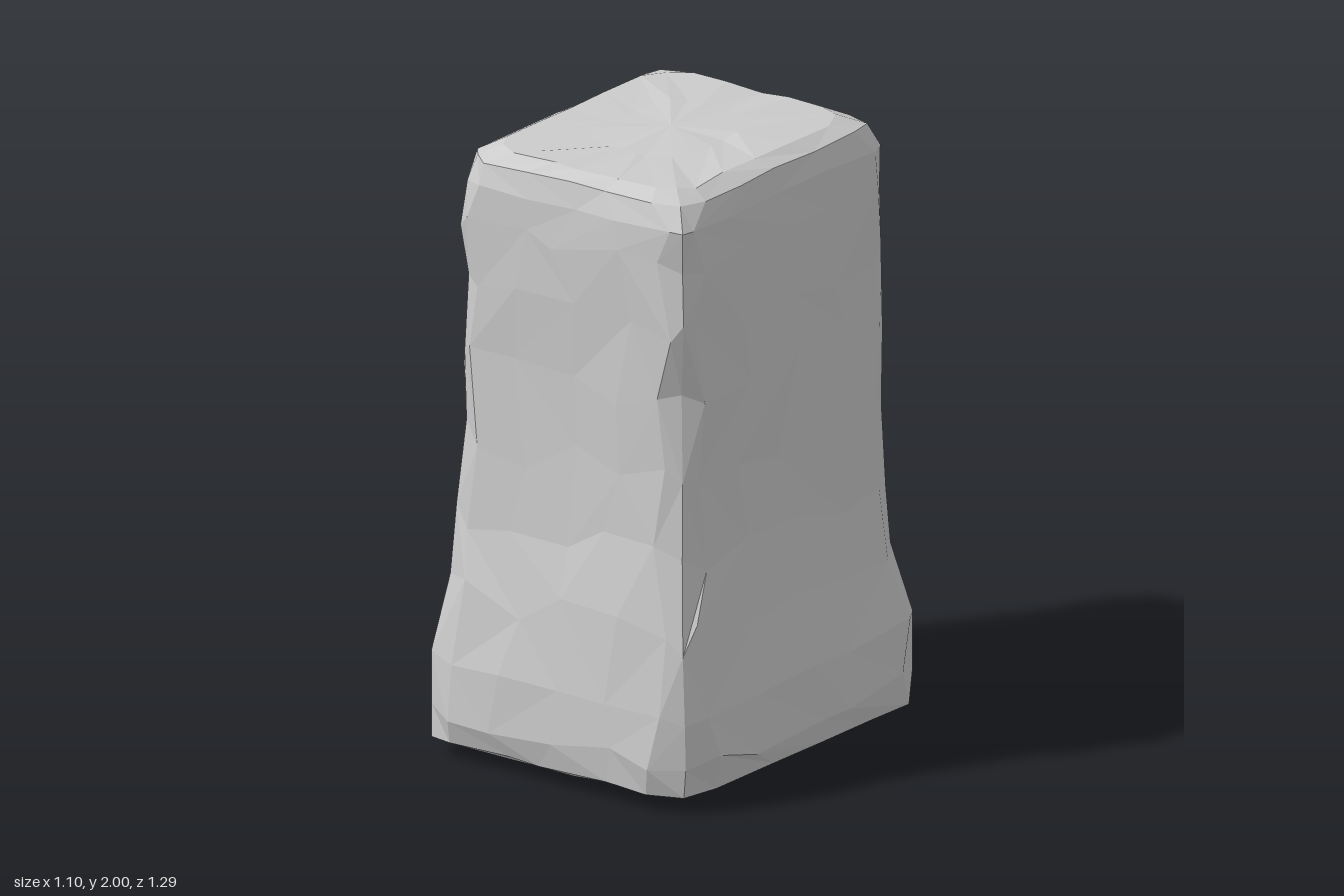
import * as THREE from 'three';

// Seeded random numbers in 0..1
function seeded(seed) {
  return () => {
    seed = (seed * 1664525 + 1013904223) % 4294967296;
    return seed / 4294967296;
  };
}

// Rows from bottom to top: height, half width, half depth, corner bevel
const ROWS = [
  [0.01, 0.2, 0.25, 0.1],
  [0.01, 0.4, 0.5, 0.1],
  [0.06, 0.52, 0.62, 0.12],
  [0.16, 0.55, 0.645, 0.12],
  [0.32, 0.535, 0.635, 0.11],
  [0.56, 0.495, 0.6, 0.1],
  [0.8, 0.465, 0.56, 0.09],
  [1.05, 0.452, 0.54, 0.08],
  [1.3, 0.45, 0.537, 0.08],
  [1.55, 0.45, 0.537, 0.08],
  [1.76, 0.45, 0.537, 0.08],
  [1.88, 0.445, 0.535, 0.08],
  [1.955, 0.425, 0.512, 0.09],
  [1.985, 0.37, 0.46, 0.1],
  [1.99, 0.19, 0.24, 0.08],
];
const SIDE_POINTS = 3;

// One uneven bevelled rectangle, counterclockwise from above
function crossSection([y, w, d, bevel], rnd) {
  const corners = [[1, 1], [1, -1], [-1, -1], [-1, 1]].map(([sx, sz], k) => {
    const r = bevel * (0.65 + 0.75 * rnd());
    const cut = r * (0.2 + 0.2 * rnd());
    const points = [[w - r, d], [w - cut, d - cut], [w, d - r]];
    if (k % 2) points.reverse();
    return points.map(([x, z]) => [sx * x, sz * z]);
  });
  const outline = [];
  corners.forEach((points, k) => {
    outline.push(...points);
    const a = points[2], b = corners[(k + 1) % 4][0];
    for (let i = 1; i <= SIDE_POINTS; i++) {
      const t = (i + (rnd() - 0.5) * 0.5) / (SIDE_POINTS + 1);
      outline.push([a[0] + (b[0] - a[0]) * t, a[1] + (b[1] - a[1]) * t]);
    }
  });
  // Chips reach inwards; heights wander more along the walls than at the ends
  const wander = y > 0.4 && y < 1.7 ? 0.12 : y > 0.1 && y < 1.8 ? 0.06 : 0.012;
  return outline.map(([x, z]) => {
    const chip = 1.003 - 0.024 * rnd();
    return [x * chip, y + (rnd() - 0.5) * wander, z * chip];
  });
}

function stoneGeometry() {
  const rnd = seeded(17);
  const rings = ROWS.map((row) => crossSection(row, rnd));
  const n = rings[0].length;
  const positions = rings.flat(2);
  const index = [];

  // Walls and rounded edges, with the diagonals turned at random
  for (let i = 0; i < rings.length - 1; i++) {
    for (let j = 0; j < n; j++) {
      const a = i * n + j, b = i * n + ((j + 1) % n);
      const c = b + n, d = a + n;
      if (rnd() < 0.5) index.push(a, b, c, a, c, d);
      else index.push(a, b, d, b, c, d);
    }
  }

  // Centres of the underside and the top
  const bottom = rings.length * n, top = bottom + 1, last = bottom - n;
  positions.push(0, 0, 0, 0, 2, 0);
  for (let j = 0; j < n; j++) {
    const next = (j + 1) % n;
    index.push(bottom, next, j, top, last + j, last + next);
  }

  const geometry = new THREE.BufferGeometry();
  geometry.setAttribute('position', new THREE.Float32BufferAttribute(positions, 3));
  geometry.setIndex(index);
  const faceted = geometry.toNonIndexed();
  faceted.computeVertexNormals();
  return faceted;
}

export function createModel() {
  const group = new THREE.Group();
  group.name = 'stonePillar';
  const material = new THREE.MeshStandardMaterial({ color: 0xcccccc, flatShading: true });
  const stone = new THREE.Mesh(stoneGeometry(), material);
  stone.name = 'stoneBlock';
  group.add(stone);
  return group;
}
